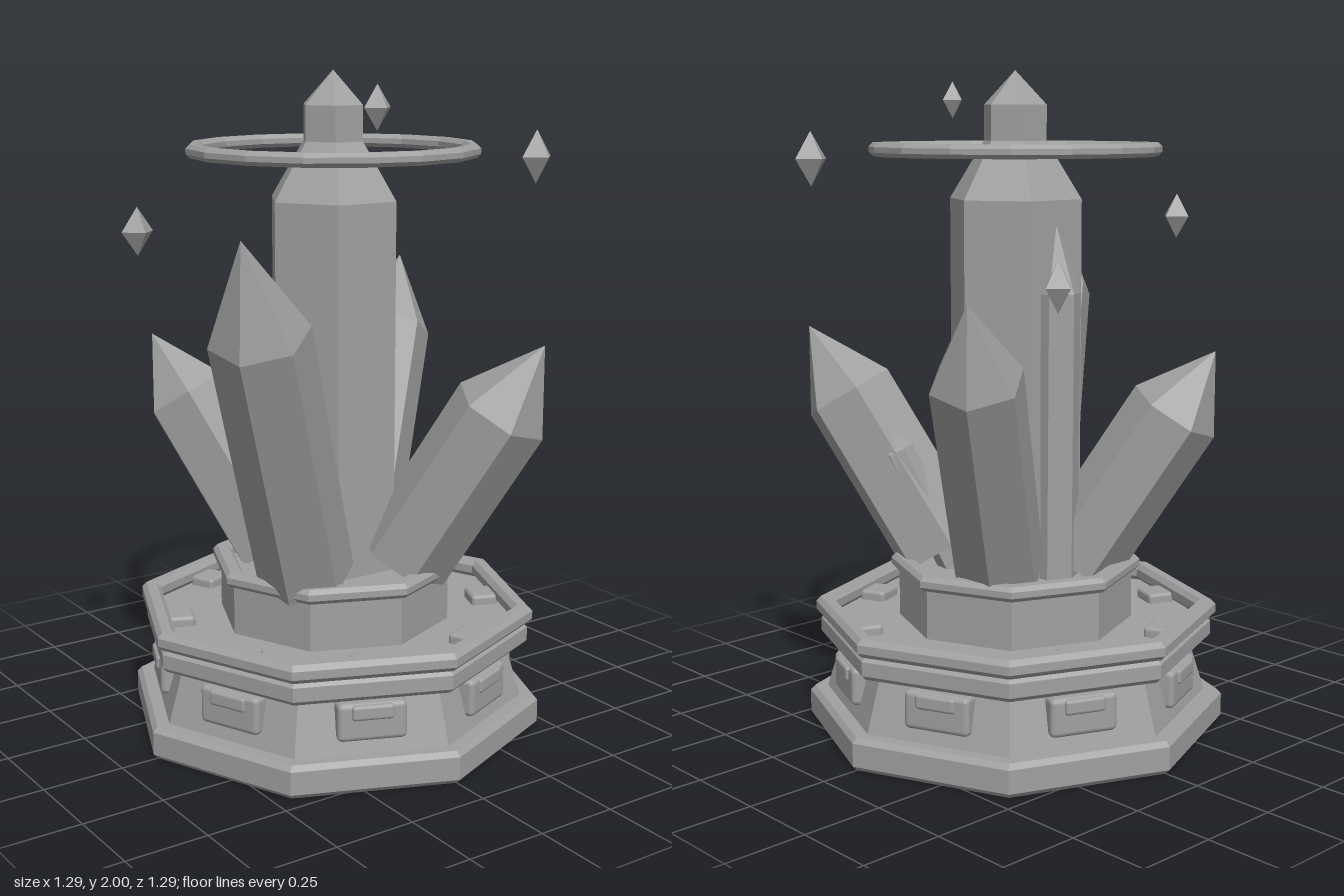
import * as THREE from 'three';
import { RoundedBoxGeometry } from 'three/addons/geometries/RoundedBoxGeometry.js';

const stone = new THREE.MeshStandardMaterial({ color: 0xa0a0a0 });
stone.name = 'grey stone';

// Faceted solid of revolution; profile runs bottom to top as [radius, y]
function faceted(profile, sides) {
  const pts = profile.map(([r, y]) => new THREE.Vector2(r, y));
  const geo = new THREE.LatheGeometry(pts, sides).toNonIndexed();
  geo.computeVertexNormals();
  return geo;
}

function add(parent, name, geo, x = 0, y = 0, z = 0) {
  const mesh = new THREE.Mesh(geo, stone);
  mesh.name = name;
  mesh.position.set(x, y, z);
  parent.add(mesh);
  return mesh;
}

// Closed ring with bevelled edges
function ringProfile(rIn, rOut, y0, y1, b) {
  return [[rIn + b, y0], [rOut - b, y0], [rOut, y0 + b], [rOut, y1 - b],
    [rOut - b, y1], [rIn + b, y1], [rIn, y1 - b], [rIn, y0 + b], [rIn + b, y0]];
}

// Solid slab with bevelled edges
function slabProfile(r, y0, y1, b) {
  return [[0, y0], [r - b, y0], [r, y0 + b], [r, y1 - b], [r - b, y1], [0, y1]];
}

// Six-sided crystal from base to tip, one edge facing outward
function crystal(parent, name, base, tip, r, point) {
  const from = new THREE.Vector3(...base);
  const axis = new THREE.Vector3(...tip).sub(from);
  const len = axis.length();
  axis.normalize();
  const out = new THREE.Vector3(tip[0], 0, tip[2]).normalize();
  out.addScaledVector(axis, -out.dot(axis)).normalize();
  const side = new THREE.Vector3().crossVectors(axis, out);
  const geo = faceted([[0, 0], [r, 0], [r, len - point], [0, len]], 6);
  const mesh = add(parent, name, geo, ...base);
  mesh.quaternion.setFromRotationMatrix(new THREE.Matrix4().makeBasis(side, axis, out));
}

export function createModel() {
  const model = new THREE.Group();
  model.name = 'crystalShrine';

  // Octagonal pedestal
  const pedestal = new THREE.Group();
  pedestal.name = 'pedestal';
  model.add(pedestal);
  add(pedestal, 'footSlab', faceted(slabProfile(0.645, 0, 0.1, 0.015), 8));
  add(pedestal, 'slopedWall', faceted([[0.59, 0.1], [0.535, 0.28]], 8));
  add(pedestal, 'lowerCornice', faceted(slabProfile(0.607, 0.265, 0.335, 0.014), 8));
  add(pedestal, 'upperRim', faceted(ringProfile(0.56, 0.622, 0.335, 0.39, 0.015), 8));
  add(pedestal, 'drum', faceted([[0.36, 0.33], [0.36, 0.5], [0, 0.5]], 8));
  add(pedestal, 'drumRim', faceted(ringProfile(0.325, 0.385, 0.485, 0.53, 0.013), 8));

  // Wall panels and floor studs, one on each side of the octagon
  const panel = new RoundedBoxGeometry(0.205, 0.115, 0.1, 2, 0.016);
  const inset = new RoundedBoxGeometry(0.125, 0.045, 0.03, 2, 0.01);
  const stud = new RoundedBoxGeometry(0.1, 0.045, 0.085, 2, 0.012);
  for (let i = 0; i < 8; i++) {
    const bay = new THREE.Group();
    bay.name = 'bay' + (i + 1);
    bay.rotation.y = (i + 0.5) * Math.PI / 4;
    add(bay, 'wallPanel', panel, 0, 0.197, 0.505);
    add(bay, 'panelInset', inset, 0, 0.228, 0.549);
    add(bay, 'floorStud', stud, 0, 0.343, 0.482);
    pedestal.add(bay);
  }

  // Central pillar with its stepped tip
  const pillar = faceted([[0.205, 0.49], [0.205, 1.625], [0.097, 1.795],
    [0.097, 1.9], [0, 2]], 6);
  add(model, 'centralCrystal', pillar.rotateY(Math.PI / 6));

  // Large leaning crystals
  crystal(model, 'leaningCrystalFrontRight', [-0.19, 0.53, 0.135], [-0.555, 1.58, 0.385], 0.145, 0.3);
  crystal(model, 'leaningCrystalBackLeft', [0.17, 0.53, -0.115], [0.525, 1.375, -0.37], 0.137, 0.25);
  crystal(model, 'leaningCrystalFrontLeft', [0.135, 0.54, 0.19], [0.375, 1.225, 0.535], 0.147, 0.24);
  crystal(model, 'leaningCrystalBackRight', [-0.11, 0.53, -0.155], [-0.355, 1.18, -0.49], 0.14, 0.22);

  // Slim crystals between them
  crystal(model, 'slimCrystalBack', [0, 0.49, -0.17], [0, 1.555, -0.175], 0.075, 0.2);
  crystal(model, 'slimCrystalRight', [-0.16, 0.5, 0.05], [-0.37, 0.97, 0.17], 0.055, 0.1);
  crystal(model, 'slimCrystalLeft', [0.17, 0.5, -0.15], [0.38, 0.95, -0.32], 0.05, 0.1);
  crystal(model, 'slimCrystalFront', [0.15, 0.5, 0.11], [0.3, 0.95, 0.27], 0.05, 0.1);

  // Halo around the tip
  add(model, 'halo', faceted(ringProfile(0.393, 0.437, 1.75, 1.79, 0.012), 16));

  // Floating shards: x, y, z, half width, half height
  [[-0.245, 1.92, 0.56, 0.042, 0.06], [0.525, 1.745, 0.305, 0.055, 0.08],
    [0.375, 1.425, -0.56, 0.047, 0.07], [-0.588, 1.555, -0.125, 0.05, 0.07],
  ].forEach(([x, y, z, w, h], i) => {
    add(model, 'floatingShard' + (i + 1), faceted([[0, -h], [w, 0], [0, h]], 4), x, y, z);
  });

  return model;
}
